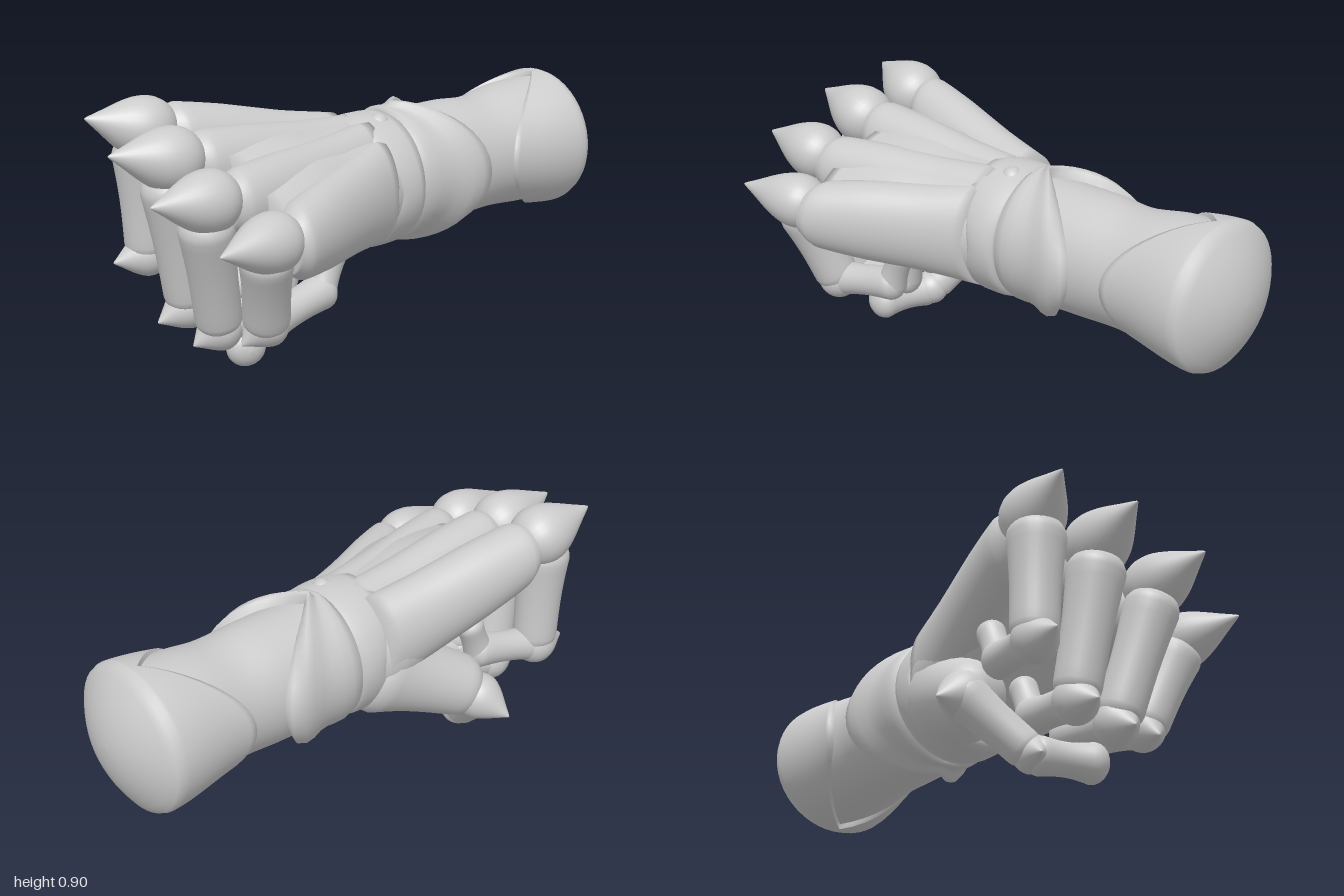
import * as THREE from 'three';

const material = new THREE.MeshStandardMaterial({ color: 0xcccccc });
const V = (x, y, z) => new THREE.Vector3(x, y, z);
const { lerp, clamp, smoothstep } = THREE.MathUtils;
const SIDES = 48;

function add(parent, name, geometry) {
  const mesh = new THREE.Mesh(geometry, material);
  mesh.name = name;
  parent.add(mesh);
  return mesh;
}

// Closed-ring skin running towards +z; point(angle, row) returns [x, y, z]
function skin(rows, point) {
  const pos = [], index = [];
  for (let j = 0; j < rows; j++) {
    for (let i = 0; i < SIDES; i++) {
      pos.push(...point((i / SIDES) * Math.PI * 2, j));
      if (j === rows - 1) continue;
      const a = j * SIDES + i, b = j * SIDES + ((i + 1) % SIDES);
      index.push(a, b, b + SIDES, a, b + SIDES, a + SIDES);
    }
  }
  const g = new THREE.BufferGeometry();
  g.setAttribute('position', new THREE.Float32BufferAttribute(pos, 3));
  g.setIndex(index);
  g.computeVertexNormals();
  return g;
}

// Smooth elliptical body through sections [x, y, z, rx, ry, tilt]
function body(sections, steps = 20) {
  const centre = new THREE.CatmullRomCurve3(sections.map(([x, y, z]) => V(x, y, z)));
  const size = new THREE.CatmullRomCurve3(sections.map((s) => V(s[3], s[4], s[5] || 0)));
  return skin(steps + 3, (a, j) => {
    const t = clamp((j - 1) / steps, 0, 1);
    const k = j === 0 || j === steps + 2 ? 0.01 : 1;
    const c = centre.getPoint(t), r = size.getPoint(t);
    const x = Math.cos(a) * r.x * k, y = Math.sin(a) * r.y * k;
    return [c.x + x * Math.cos(r.z) - y * Math.sin(r.z), c.y + x * Math.sin(r.z) + y * Math.cos(r.z), c.z];
  });
}

// Lathe whose axis runs from a towards b
function along(parent, name, profile, a, b) {
  const mesh = add(parent, name, new THREE.LatheGeometry(profile, 28));
  mesh.position.copy(a);
  mesh.quaternion.setFromUnitVectors(V(0, 1, 0), b.clone().sub(a).normalize());
}

// Waisted finger segment with round ends
function segment(parent, name, a, b, r0, r1, waist = 0.06) {
  const len = a.distanceTo(b), start = [], shaft = [], end = [];
  for (let i = 0; i <= 6; i++) {
    const q = (i / 6) * Math.PI / 2;
    start.push(new THREE.Vector2(r0 * Math.sin(q), -r0 * 0.8 * Math.cos(q)));
    end.push(new THREE.Vector2(r1 * Math.cos(q), len + r1 * 0.8 * Math.sin(q)));
  }
  for (let t = 0.1; t < 0.95; t += 0.1) {
    shaft.push(new THREE.Vector2(lerp(r0, r1, t) * (1 - waist * Math.sin(Math.PI * t)), len * t));
  }
  along(parent, name, [...start, ...shaft, ...end], a, b);
}

// Round knuckle cover drawn out to a blunt point
function claw(parent, name, centre, tip, r) {
  const len = centre.distanceTo(tip), pts = [];
  for (let i = 0; i < 10; i++) {
    const q = (i / 10) * Math.PI / 2;
    pts.push(new THREE.Vector2(r * Math.sin(q), -r * Math.cos(q)));
  }
  for (let i = 0; i <= 18; i++) {
    const s = Math.sin((i / 18) * Math.PI / 2);
    const k = 0.24 * (1 + Math.cos(Math.PI * s)) + 0.36 * (1 - s * s) + 0.16 * Math.sqrt(1 - s * s);
    pts.push(new THREE.Vector2(r * k, len * s));
  }
  along(parent, name, pts, centre, tip);
}

// Curled finger: ridge on the back of the hand, clawed knuckles, end tucked into the palm
function addFinger(model, name, wristX, wristY, bulk, r, knuckle, tip, joint, spike) {
  const finger = new THREE.Group();
  finger.name = name;
  model.add(finger);

  const wrist = V(wristX, wristY, 0.01);
  const ridgeEnd = knuckle.clone().add(V(0, -0.03, -0.05));
  const rx = [0.115, 0.112, 0.112, 0.105, 0.07], ry = [0.18, 0.155, 0.14, 0.12, 0.08];
  add(finger, 'handRidge', body([0, 0.3, 0.65, 0.9, 1].map((t, i) =>
    [...wrist.clone().lerp(ridgeEnd, t).toArray(), rx[i] * bulk, ry[i] * bulk])));

  claw(finger, 'knuckleClaw', knuckle, tip, r);
  const upper = knuckle.clone().lerp(joint, 0.2).add(V(0, 0, 0.02)), lower = knuckle.clone().lerp(joint, 0.9);
  segment(finger, 'upperSegment', upper, lower, r * 0.9, 0.08);
  claw(finger, 'jointClaw', joint, spike, 0.078);
  const middle = V(joint.x * 0.85, joint.y + 0.045, joint.z - 0.25);
  segment(finger, 'middleSegment', joint, middle, 0.068, 0.064, 0.14);
  segment(finger, 'fingerEnd', middle, middle.clone().add(V(0, 0.12, -0.05)), 0.056, 0.05, 0.1);
}

export function createModel() {
  const model = new THREE.Group();
  model.name = 'armouredFist';

  // Forearm core
  add(model, 'forearm', body([
    [-0.07, 0.53, -0.9, 0.24, 0.24], [-0.07, 0.53, -0.7, 0.225, 0.228], [-0.06, 0.525, -0.54, 0.205, 0.212],
    [-0.06, 0.525, -0.4, 0.205, 0.222], [-0.05, 0.52, -0.1, 0.215, 0.225],
  ]));

  // Domed elbow cover with a front edge sweeping forward on both sides
  add(model, 'elbowCover', skin(26, (a, j) => {
    let z, k;
    if (j < 10) {
      k = Math.max(0.005, 0.97 * j / 9);
      z = -0.91 - 0.09 * (1 - (j / 9) ** 2);
    } else {
      const edge = -0.86 + 0.29 * Math.abs(Math.cos(a));
      z = lerp(-0.89, edge, Math.min(1, (j - 10) / 14));
      k = 1 - 0.17 * smoothstep(z, -0.9, -0.55);
      if (j === 25) k *= 0.9;
    }
    return [-0.07 + Math.cos(a) * 0.27 * k, 0.53 + Math.sin(a) * 0.26 * k, z];
  }));

  // Flared cuff, longest at the sides, with a lip at its rear edge
  const flare = [0.82, 1.02, 1.07, 1.05, 1, 0.98, 0.99, 0.99, 0.95, 0.85];
  add(model, 'cuff', skin(flare.length, (a, j) => {
    const rear = -0.17 - 0.26 * Math.abs(Math.cos(a));
    const z = lerp(rear, -0.11, clamp((j - 1) / 7, 0, 1));
    return [-0.06 + Math.cos(a) * 0.237 * flare[j], 0.525 + Math.sin(a) * 0.247 * flare[j], z];
  }));

  // Wrist band with a low stud
  const band = [0.85, 0.97, 1, 1.01, 1.01, 1, 0.97, 0.85];
  add(model, 'wristBand', skin(band.length, (a, j) => {
    const z = lerp(-0.115, 0.07 * Math.abs(Math.sin(a)), clamp((j - 1) / 5, 0, 1));
    return [-0.05 + Math.cos(a) * 0.24 * band[j], 0.523 + Math.sin(a) * 0.24 * band[j], z];
  }));
  add(model, 'wristStud', new THREE.SphereGeometry(0.04, 20, 12)).position.set(0, 0.73, -0.05);

  // Palm, tilting down towards the little finger
  add(model, 'palm', body([
    [-0.05, 0.52, -0.015, 0.235, 0.215, 0], [-0.05, 0.525, 0.04, 0.252, 0.22, -0.03],
    [-0.03, 0.55, 0.2, 0.275, 0.2, -0.15], [0.01, 0.61, 0.42, 0.31, 0.15, -0.27],
    [0.04, 0.64, 0.6, 0.3, 0.1, -0.28],
  ]));

  // Fingers
  addFinger(model, 'indexFinger', -0.18, 0.56, 1.03, 0.11,
    V(-0.285, 0.79, 0.72), V(-0.32, 0.85, 0.93), V(-0.29, 0.345, 0.73), V(-0.3, 0.335, 0.86));
  addFinger(model, 'middleFinger', -0.08, 0.58, 1, 0.11,
    V(-0.06, 0.742, 0.76), V(-0.07, 0.79, 0.99), V(-0.105, 0.2, 0.69), V(-0.11, 0.165, 0.81));
  addFinger(model, 'ringFinger', 0.01, 0.58, 0.97, 0.105,
    V(0.172, 0.66, 0.77), V(0.195, 0.69, 1), V(0.065, 0.17, 0.68), V(0.06, 0.13, 0.78));
  addFinger(model, 'littleFinger', 0.07, 0.52, 1.06, 0.1,
    V(0.358, 0.55, 0.66), V(0.42, 0.57, 0.9), V(0.235, 0.22, 0.61), V(0.225, 0.165, 0.7));

  // Thumb folded across underneath the fingers
  const thumb = new THREE.Group();
  thumb.name = 'thumb';
  model.add(thumb);
  segment(thumb, 'thumbBase', V(-0.15, 0.44, 0.08), V(-0.27, 0.31, 0.35), 0.17, 0.115);
  claw(thumb, 'thumbKnuckleClaw', V(-0.335, 0.27, 0.4), V(-0.46, 0.225, 0.435), 0.085);
  segment(thumb, 'thumbSegment', V(-0.33, 0.26, 0.41), V(-0.17, 0.1, 0.49), 0.08, 0.066);
  claw(thumb, 'thumbJointClaw', V(-0.14, 0.08, 0.5), V(-0.175, 0.045, 0.6), 0.066);
  segment(thumb, 'thumbEnd', V(-0.12, 0.07, 0.52), V(0.05, 0.07, 0.565), 0.066, 0.07, 0.16);

  return model;
}
